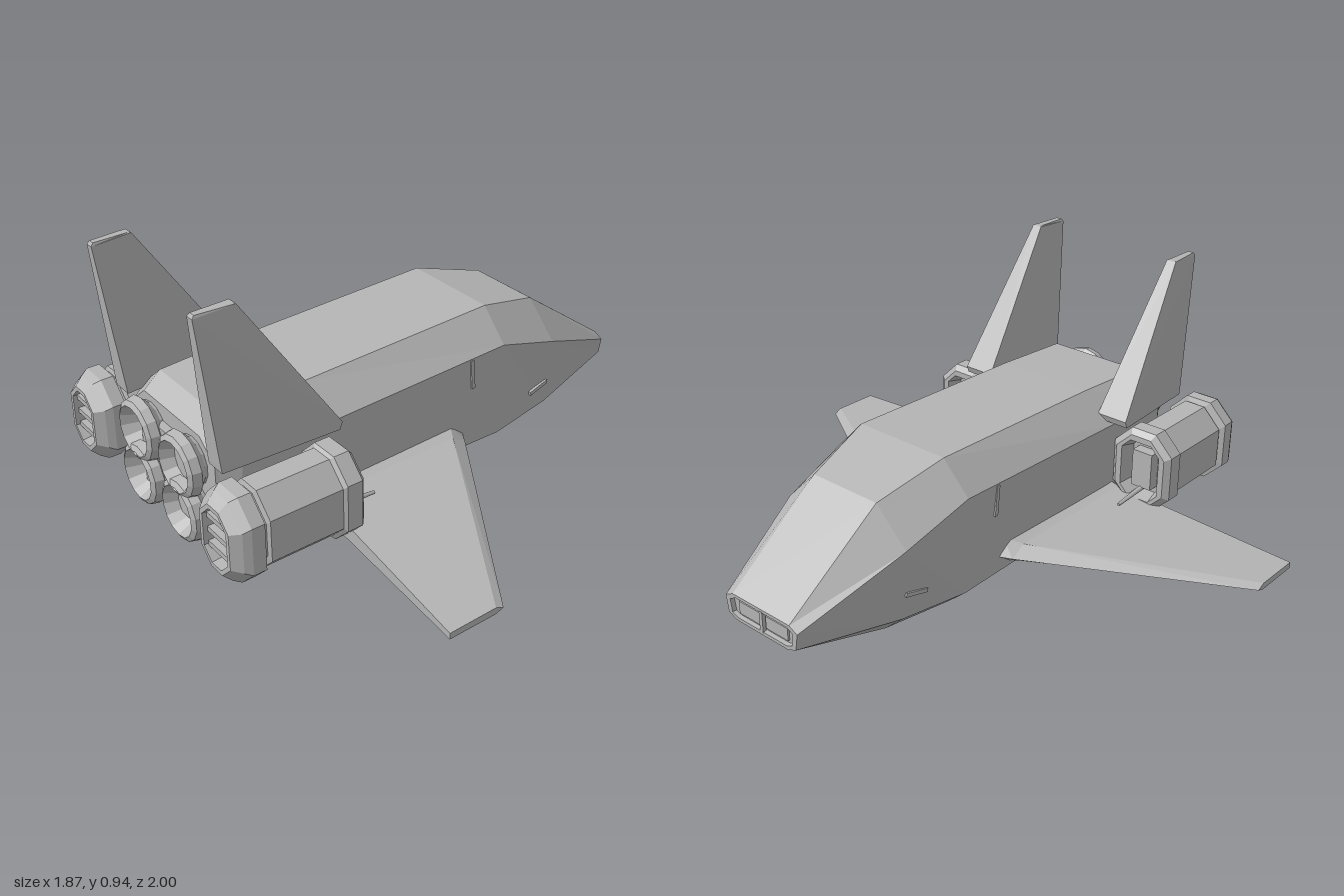
import * as THREE from 'three';

const hullGrey = new THREE.MeshStandardMaterial({ color: 0xb4b4b4 });
hullGrey.name = 'hullGrey';

// Skin a list of equal-length rings and cap both ends, with flat facets facing outwards
function loft(name, rings) {
  const tris = [];
  const n = rings[0].length;
  for (let i = 0; i < rings.length - 1; i++) {
    for (let j = 0; j < n; j++) {
      const k = (j + 1) % n, a = rings[i], b = rings[i + 1];
      tris.push([a[j], b[j], b[k]], [a[j], b[k], a[k]]);
    }
  }
  const first = rings[0], last = rings[rings.length - 1];
  for (let j = 1; j < n - 1; j++) {
    tris.push([first[0], first[j], first[j + 1]], [last[0], last[j + 1], last[j]]);
  }
  // The signed volume tells whether the winding must be reversed
  let volume = 0;
  const v = [0, 1, 2].map(() => new THREE.Vector3());
  for (const t of tris) {
    t.forEach((p, i) => v[i].set(...p));
    volume += v[0].dot(v[1].clone().cross(v[2]));
  }
  if (volume < 0) tris.forEach((t) => t.reverse());
  const geometry = new THREE.BufferGeometry();
  geometry.setAttribute('position', new THREE.Float32BufferAttribute(tris.flat(2), 3));
  geometry.computeVertexNormals();
  const mesh = new THREE.Mesh(geometry, hullGrey);
  mesh.name = name;
  return mesh;
}

function box(name, size, position) {
  const mesh = new THREE.Mesh(new THREE.BoxGeometry(...size), hullGrey);
  mesh.position.set(...position);
  mesh.name = name;
  return mesh;
}

// Hull ring: height and half width of the top, shoulder, chine and belly edges
function hullRing(x, yt, wt, ys, ws, yc, wc, yb, wb) {
  const half = [[yt, wt], [ys, ws], [yc, wc], [yb, wb]];
  return [
    ...half.map(([y, w]) => [x, y, w]),
    ...half.reverse().map(([y, w]) => [x, y, -w]),
  ];
}

// Rectangle with cut corners, shrunk evenly by an inset
function octagon(x, s, inset, cut = 0.07) {
  const y0 = 0.11 + inset, y1 = 0.415 - inset;
  const z0 = 0.295 + inset, z1 = 0.535 - inset;
  return [
    [y0, z0 + cut], [y0, z1 - cut], [y0 + cut, z1], [y1 - cut, z1],
    [y1, z1 - cut], [y1, z0 + cut], [y1 - cut, z0], [y0 + cut, z0],
  ].map(([y, z]) => [x, y, z * s]);
}

function circle(x, y, z, r) {
  return Array.from({ length: 14 }, (_, i) => {
    const a = (i / 14) * Math.PI * 2;
    return [x, y + r * Math.cos(a), z + r * Math.sin(a)];
  });
}

function createHull() {
  const hull = new THREE.Group();
  hull.name = 'hull';
  hull.add(loft('fuselage', [
    hullRing(-0.83, 0.45, 0.17, 0.38, 0.25, 0.13, 0.25, 0.08, 0.17),
    hullRing(-0.76, 0.495, 0.185, 0.40, 0.295, 0.11, 0.28, 0.04, 0.19),
    hullRing(-0.45, 0.515, 0.185, 0.41, 0.297, 0.095, 0.288, 0.008, 0.2),
    hullRing(0.30, 0.54, 0.185, 0.43, 0.29, 0.07, 0.275, 0.005, 0.2),
    hullRing(0.56, 0.47, 0.14, 0.345, 0.265, 0.085, 0.24, 0.017, 0.165),
    hullRing(0.93, 0.203, 0.13, 0.185, 0.165, 0.125, 0.155, 0.11, 0.12),
    // Recessed nose opening
    hullRing(0.93, 0.192, 0.118, 0.178, 0.145, 0.132, 0.138, 0.122, 0.112),
    hullRing(0.915, 0.19, 0.116, 0.178, 0.143, 0.132, 0.136, 0.124, 0.11),
  ]));
  hull.add(box('noseDivider', [0.02, 0.075, 0.014], [0.921, 0.157, 0]));
  for (const s of [1, -1]) {
    hull.add(box('nosePane', [0.008, 0.045, 0.1], [0.918, 0.157, s * 0.062]));
    // Door slit and small vent on each flank
    const slit = box('doorSlit', [0.014, 0.11, 0.008], [0.16, 0.365, s * 0.29]);
    slit.rotation.z = 0.09;
    const vent = box('sideVent', [0.09, 0.014, 0.012], [0.51, 0.17, s * 0.256]);
    vent.rotation.set(0, s * 0.1, 0.2);
    hull.add(slit, vent);
  }
  return hull;
}

// Four main engine bells in the stern
function createMainEngines() {
  const engines = new THREE.Group();
  engines.name = 'mainEngines';
  for (const y of [0.18, 0.345]) {
    for (const z of [-0.125, 0.125]) {
      engines.add(loft('mainNozzle', [
        circle(-0.80, y, z, 0.075),
        circle(-0.84, y, z, 0.085),
        circle(-0.865, y, z, 0.112),
        circle(-0.895, y, z, 0.105),
        circle(-0.905, y, z, 0.088),
        circle(-0.835, y, z, 0.055),
      ]));
    }
  }
  engines.add(box('engineMount', [0.04, 0.26, 0.3], [-0.84, 0.262, 0]));
  return engines;
}

function createNacelle(s) {
  const nacelle = new THREE.Group();
  nacelle.name = s > 0 ? 'leftNacelle' : 'rightNacelle';
  nacelle.add(loft('nacelleBody', [
    // Exhaust recess, rear bulb and groove
    octagon(-0.89, s, 0.06, 0.035),
    octagon(-0.94, s, 0.055, 0.04),
    octagon(-0.94, s, 0.04, 0.05),
    octagon(-0.91, s, 0.012),
    octagon(-0.885, s, 0),
    octagon(-0.84, s, 0),
    octagon(-0.83, s, 0.025),
    octagon(-0.82, s, 0.025),
    octagon(-0.815, s, 0.01),
    // Straight casing and front collar
    octagon(-0.555, s, 0.01),
    octagon(-0.545, s, 0),
    octagon(-0.49, s, 0),
    octagon(-0.472, s, 0.02, 0.06),
    // Intake recess
    octagon(-0.472, s, 0.042, 0.035),
    octagon(-0.53, s, 0.055, 0.03),
  ]));
  for (const y of [0.21, 0.262, 0.314]) {
    nacelle.add(box('exhaustLouvre', [0.03, 0.018, 0.12], [-0.912, y, s * 0.415]));
  }
  nacelle.add(box('intakeBlock', [0.05, 0.14, 0.08], [-0.512, 0.262, s * 0.415]));
  // Slim barrel ahead of the nacelle
  const barrel = new THREE.Mesh(new THREE.CylinderGeometry(0.006, 0.01, 0.16, 8), hullGrey);
  barrel.name = 'barrel';
  barrel.rotation.z = -Math.PI / 2 - 0.08;
  barrel.position.set(-0.435, 0.183, s * 0.415);
  nacelle.add(barrel);
  return nacelle;
}

// Wing section: trailing edge, top crease, leading edge, bottom crease
function wingRing(z, s, back, crease, front, yTop, yLow, yFront, yBack) {
  return [
    [back, yLow, z], [back, yBack, z], [crease, yTop, z],
    [front, yFront, z], [crease, yLow, z],
  ].map(([x, y, w]) => [x, y, w * s]);
}

function createWing(s) {
  return loft(s > 0 ? 'leftWing' : 'rightWing', [
    wingRing(0.26, s, -0.49, 0.09, 0.145, 0.182, 0.095, 0.135, 0.175),
    wingRing(0.32, s, -0.493, 0.055, 0.11, 0.165, 0.098, 0.13, 0.16),
    wingRing(1.0, s, -0.535, -0.36, -0.33, 0.1, 0.076, 0.086, 0.098),
  ]);
}

// Fin section: narrow trailing edge and broad leading edge
function createFin(s) {
  const ring = (back, front, yb, yf, inner, outerBack, outerFront) => [
    [back, yb, inner], [front, yf, inner], [front, yf, outerFront], [back, yb, outerBack],
  ].map(([x, y, z]) => [x, y, z * s]);
  return loft(s > 0 ? 'leftFin' : 'rightFin', [
    ring(-0.848, -0.45, 0.405, 0.425, 0.25, 0.325, 0.368),
    ring(-0.85, -0.44, 0.42, 0.45, 0.25, 0.325, 0.368),
    ring(-0.903, -0.765, 0.932, 0.942, 0.283, 0.312, 0.32),
    ring(-0.895, -0.77, 0.942, 0.944, 0.287, 0.309, 0.316),
  ]);
}

export function createModel() {
  const ship = new THREE.Group();
  ship.name = 'spaceShuttle';
  ship.add(createHull(), createMainEngines());
  for (const s of [1, -1]) ship.add(createNacelle(s), createWing(s), createFin(s));
  return ship;
}
